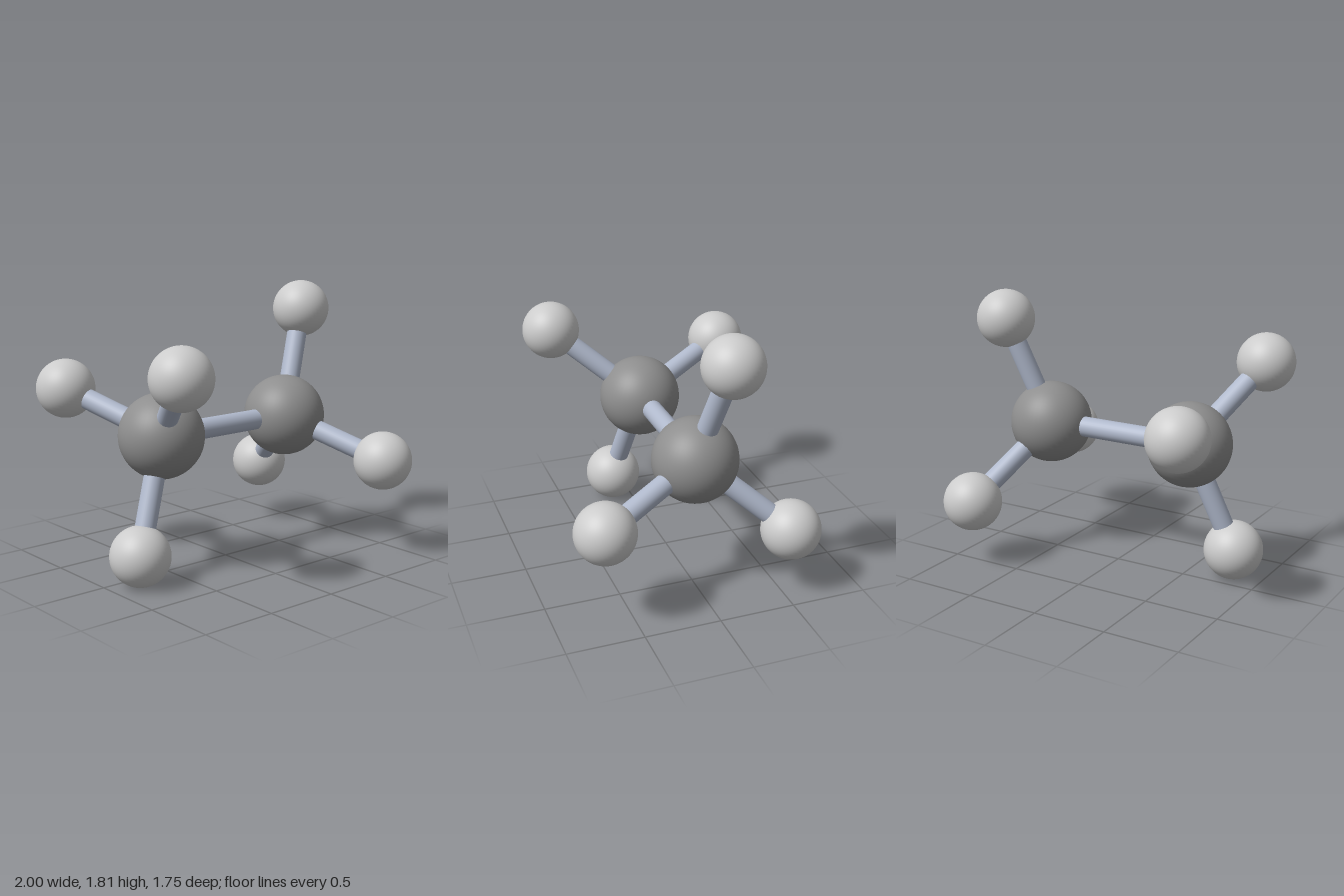
import * as THREE from 'three';

export function createModel() {
  const model = new THREE.Group();
  const dark = new THREE.MeshStandardMaterial({ color: 0x8e8e8e });
  const light = new THREE.MeshStandardMaterial({ color: 0xcccccc });
  const steel = new THREE.MeshStandardMaterial({ color: 0xb0b9cc });
  const Y = 0.907, UP = new THREE.Vector3(0, 1, 0);
  const largeBall = new THREE.SphereGeometry(0.277, 48, 32);
  const smallBall = new THREE.SphereGeometry(0.195, 48, 32);

  function ball(name, geometry, material, position) {
    const mesh = new THREE.Mesh(geometry, material);
    mesh.name = name;
    mesh.position.copy(position);
    model.add(mesh);
  }

  // Rod running between the centres of two balls
  function rod(name, a, b) {
    const d = b.clone().sub(a);
    const mesh = new THREE.Mesh(new THREE.CylinderGeometry(0.068, 0.068, d.length(), 32), steel);
    mesh.name = name;
    mesh.position.copy(a).addScaledVector(d, 0.5);
    mesh.quaternion.setFromUnitVectors(UP, d.normalize());
    model.add(mesh);
  }

  const centres = [1, -1].map((s) => new THREE.Vector3(0.534 * s, Y, 0));
  rod('centralRod', centres[1], centres[0]);

  // Two staggered ends, each with three outer balls 120 degrees apart
  centres.forEach((centre, end) => {
    const side = end === 0 ? 'left' : 'right';
    ball(side + 'LargeBall', largeBall, dark, centre);
    for (let i = 0; i < 3; i++) {
      const angle = THREE.MathUtils.degToRad(100 + 180 * end + 120 * i);
      const outer = new THREE.Vector3(
        end === 0 ? 0.805 : -0.805,
        Y + 0.722 * Math.sin(angle),
        0.722 * Math.cos(angle)
      );
      rod(side + 'OuterRod' + (i + 1), centre, outer);
      ball(side + 'SmallBall' + (i + 1), smallBall, light, outer);
    }
  });
  return model;
}
